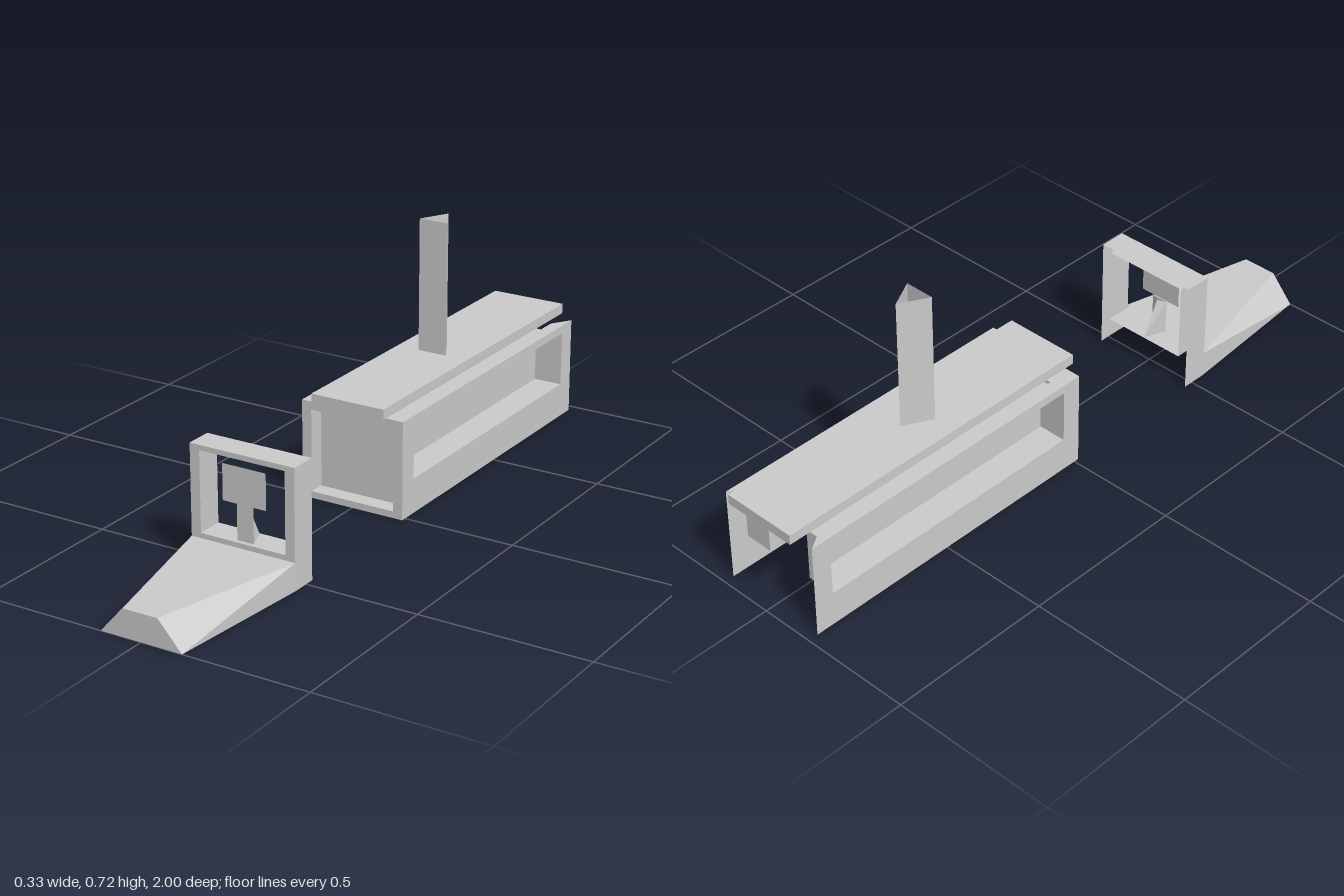
import * as THREE from 'three';

const material = new THREE.MeshStandardMaterial({ color: 0xcccccc, flatShading: true, side: THREE.DoubleSide });

function add(parent, name, geometry) {
  const mesh = new THREE.Mesh(geometry, material);
  mesh.name = name;
  parent.add(mesh);
  return mesh;
}

// Thin sheets from quads (four corners) or triangles (three corners)
function sheets(faces) {
  const pos = [];
  for (const f of faces) {
    for (let i = 1; i < f.length - 1; i++) pos.push(...f[0], ...f[i], ...f[i + 1]);
  }
  const g = new THREE.BufferGeometry();
  g.setAttribute('position', new THREE.Float32BufferAttribute(pos, 3));
  g.computeVertexNormals();
  return g;
}

const rectPoints = ([x0, x1, y0, y1]) => [[x0, y0], [x1, y0], [x1, y1], [x0, y1]];

// Flat plate facing +z with a rectangular hole whose lining runs back by depth
function recessedPlate(name, outer, hole, depth, closed) {
  const group = new THREE.Group();
  group.name = name;
  const toVec = (p) => new THREE.Vector2(p[0], p[1]);
  const shape = new THREE.Shape(rectPoints(outer).map(toVec));
  const h = rectPoints(hole);
  shape.holes.push(new THREE.Path(h.map(toVec)));
  add(group, name + 'Plate', new THREE.ShapeGeometry(shape));
  const lining = h.map((a, i) => {
    const b = h[(i + 1) % 4];
    return [[...a, 0], [...a, -depth], [...b, -depth], [...b, 0]];
  });
  if (closed) lining.push(h.map((p) => [...p, -depth]));
  add(group, name + 'Lining', sheets(lining));
  return group;
}

function createFrontSection() {
  const front = new THREE.Group();
  front.name = 'frontSection';
  const W = 0.163, H = 0.345, zf = 0.55, zb = 0.47;

  // Upright frame: lined opening, open at the back, with an outer skin
  const frame = recessedPlate('frontFrame', [-W, W, 0.08, H], [-0.133, 0.133, 0.095, 0.33], zf - zb, false);
  frame.position.z = zf;
  front.add(frame);
  add(front, 'frameSkin', sheets([
    [[-W, H, zf], [W, H, zf], [W, H, zb], [-W, H, zb]],
    [[W, 0, zf], [W, 0, zb], [W, H, zb], [W, H, zf]],
    [[-W, 0, zb], [-W, 0, zf], [-W, H, zf], [-W, H, zb]],
  ]));

  // Hollow nose, open underneath
  const y = 0.08, b = 0.125, t = 0.053;
  const nose = [
    [[-t, y, 1], [t, y, 1], [W, y, zf], [-W, y, zf]],
    [[-b, 0, 1], [b, 0, 1], [t, y, 1], [-t, y, 1]],
  ];
  for (const s of [-1, 1]) {
    const sides = [
      [[s * W, 0, zf], [s * W, y, zf], [s * b, 0, 1]],
      [[s * W, y, zf], [s * t, y, 1], [s * b, 0, 1]],
    ];
    nose.push(...(s > 0 ? sides.map((f) => f.reverse()) : sides.map((f) => f.slice().reverse()).map((f) => f.reverse())));
  }
  add(front, 'nose', sheets(nose));

  // Panel on a wedge-shaped stand inside the frame
  const panel = add(front, 'panel', new THREE.PlaneGeometry(0.136, 0.105));
  panel.position.set(0, 0.2525, 0.54);
  const w = 0.026, zs = 0.537, y0 = 0.095, y1 = 0.2;
  add(front, 'panelStand', sheets([
    [[-w, y0, zs], [w, y0, zs], [w, y1, zs], [-w, y1, zs]],
    [[w, y0, zs], [0, y0, 0.472], [0, y1, 0.525], [w, y1, zs]],
    [[0, y0, 0.472], [-w, y0, zs], [-w, y1, zs], [0, y1, 0.525]],
  ]));
  return front;
}

function createRearSection() {
  const rear = new THREE.Group();
  rear.name = 'rearSection';
  const W = 0.163, H = 0.29, zf = 0.015, zb = -0.97, inner = 0.125;

  // Front wall with a shallow closed recess
  const frontWall = recessedPlate('frontWall', [-W, W, 0, H], [-0.133, 0.133, 0.02, 0.265], 0.05, true);
  frontWall.position.z = zf;
  rear.add(frontWall);

  // Mirrored side walls with long closed recesses
  for (const s of [1, -1]) {
    const side = new THREE.Group();
    side.name = s > 0 ? 'leftSide' : 'rightSide';
    const wall = recessedPlate('sideWall', [-zf, -zb, 0, H], [0.045, 0.91, 0.103, 0.265], 0.087, true);
    wall.rotation.y = Math.PI / 2;
    wall.position.x = W;
    side.add(wall);
    side.scale.x = s;
    rear.add(side);
  }

  // U-shaped rim on top of the walls, tapered at the back
  const rim = new THREE.Shape([
    [-W, zf], [W, zf], [W, zb], [inner, -0.91], [inner, -0.045],
    [-inner, -0.045], [-inner, -0.91], [-W, zb],
  ].map(([x, z]) => new THREE.Vector2(x, -z)));
  const rimMesh = add(rear, 'topRim', new THREE.ShapeGeometry(rim));
  rimMesh.rotation.x = -Math.PI / 2;
  rimMesh.position.y = H;

  // Flat deck slab
  const deck = add(rear, 'deck', new THREE.BoxGeometry(0.232, 0.03, 1.04));
  deck.position.set(0, 0.31, -0.48);

  // Three-sided hollow mast, open at the top
  const corners = [[-0.045, -0.418], [0.045, -0.418], [0, -0.503]];
  add(rear, 'mast', sheets(corners.map(([x0, z0], i) => {
    const [x1, z1] = corners[(i + 1) % 3];
    return [[x0, 0.29, z0], [x1, 0.29, z1], [x1, 0.72, z1], [x0, 0.72, z0]];
  })));
  return rear;
}

export function createModel() {
  const model = new THREE.Group();
  model.name = 'model';
  model.add(createFrontSection(), createRearSection());
  return model;
}
